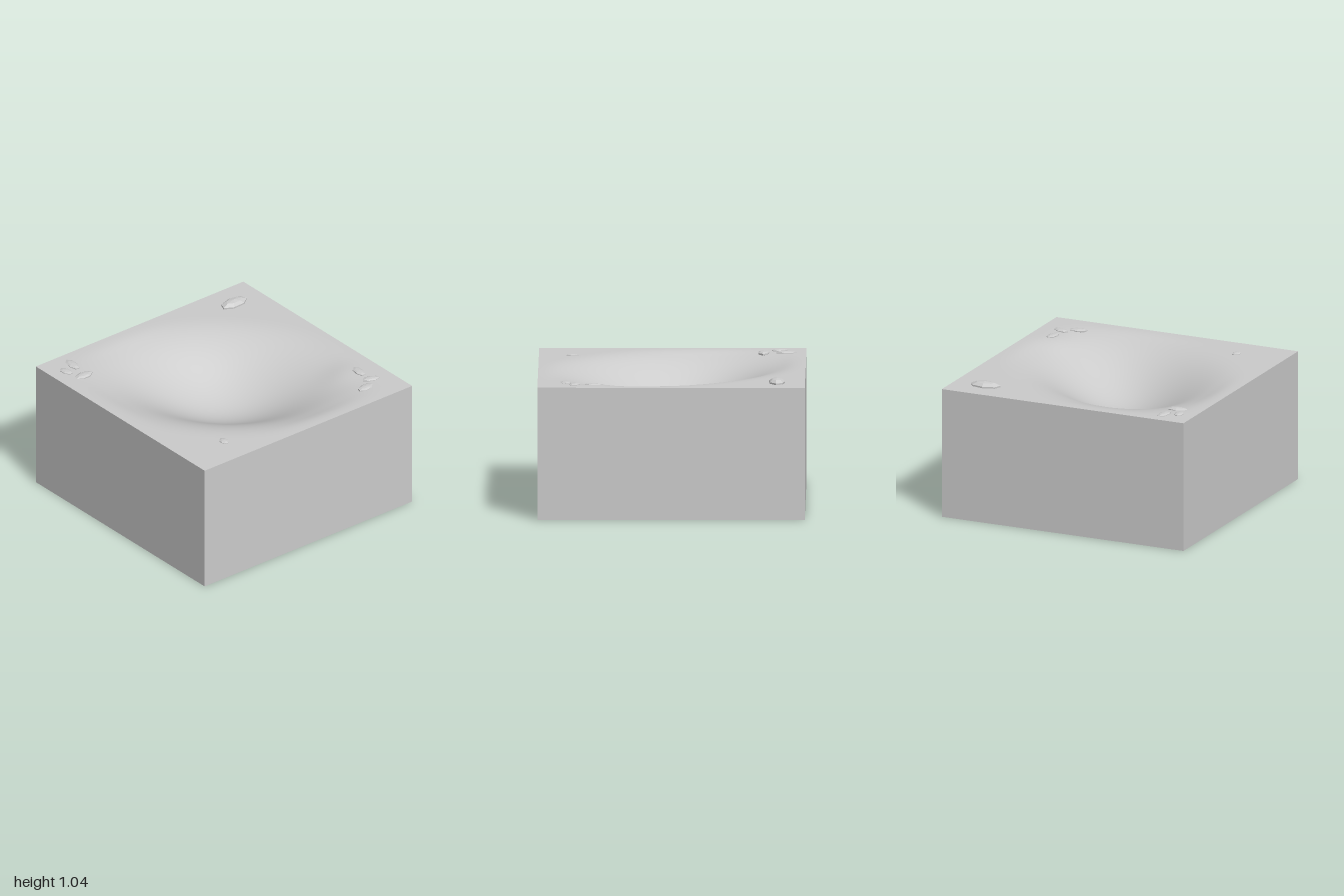
import * as THREE from 'three';

const material = new THREE.MeshStandardMaterial({ color: 0xcccccc, side: THREE.DoubleSide });
const stoneMaterial = new THREE.MeshStandardMaterial({ color: 0xcccccc, flatShading: true });

// Height of the ground: a soft valley-like hollow along one diagonal, a faint swell by one corner
function groundHeight(x, z) {
  const u = (x - z) / Math.SQRT2 / 1.25;
  const v = ((x + z) / Math.SQRT2 - 0.02) / 0.93;
  const inside = Math.max(0, 1 - u * u - v * v);
  const edge = (t) => THREE.MathUtils.smoothstep(1 - Math.abs(t), 0, 0.2);
  const swell = 0.014 * Math.exp(-((x - 0.5) ** 2 + (z + 0.75) ** 2) / 0.02);
  return 1 + (swell - 0.315 * inside ** 3) * edge(x) * edge(z);
}

// Square sheet bent into the hollow
function makeGround() {
  const geometry = new THREE.PlaneGeometry(2, 2, 48, 48).rotateX(-Math.PI / 2);
  const p = geometry.attributes.position;
  for (let i = 0; i < p.count; i++) p.setY(i, groundHeight(p.getX(i), p.getZ(i)));
  geometry.computeVertexNormals();
  const ground = new THREE.Mesh(geometry, material);
  ground.name = 'ground';
  return ground;
}

// Four thin side walls, open underneath
function makeWalls() {
  const walls = new THREE.Group();
  walls.name = 'walls';
  ['front', 'left', 'back', 'right'].forEach((side, i) => {
    const geometry = new THREE.PlaneGeometry(2, 1).translate(0, 0.5, 1);
    const wall = new THREE.Mesh(geometry, material);
    wall.name = side + 'Wall';
    wall.rotation.y = (i * Math.PI) / 2;
    walls.add(wall);
  });
  return walls;
}

// Half-buried stones: x, z, half width, half length, height above ground, turn
const STONES = [
  [-0.79, -0.74, 0.065, 0.125, 0.038, 0.05],
  [0.58, -0.83, 0.075, 0.038, 0.012, -0.1],
  [0.72, -0.83, 0.038, 0.07, 0.014, -0.35],
  [0.79, -0.72, 0.042, 0.075, 0.014, 0.15],
  [-0.85, 0.77, 0.085, 0.04, 0.014, -0.1],
  [-0.8, 0.87, 0.062, 0.038, 0.013, 0.15],
  [-0.68, 0.8, 0.045, 0.085, 0.018, 0.05],
  [0.75, 0.61, 0.048, 0.034, 0.012, -0.1],
];

// Blunt-ended lumps with few sides
function makeStones() {
  const geometry = new THREE.SphereGeometry(1, 7, 5);
  const stones = new THREE.Group();
  stones.name = 'stones';
  for (const [x, z, halfWidth, halfLength, height, turn] of STONES) {
    const stone = new THREE.Mesh(geometry, stoneMaterial);
    stone.name = 'stone';
    stone.scale.set(halfWidth, height, halfLength);
    stone.position.set(x, groundHeight(x, z), z);
    stone.rotation.y = turn;
    stones.add(stone);
  }
  return stones;
}

export function createModel() {
  const model = new THREE.Group();
  model.name = 'terrainTile';
  model.add(makeGround(), makeWalls(), makeStones());
  return model;
}
